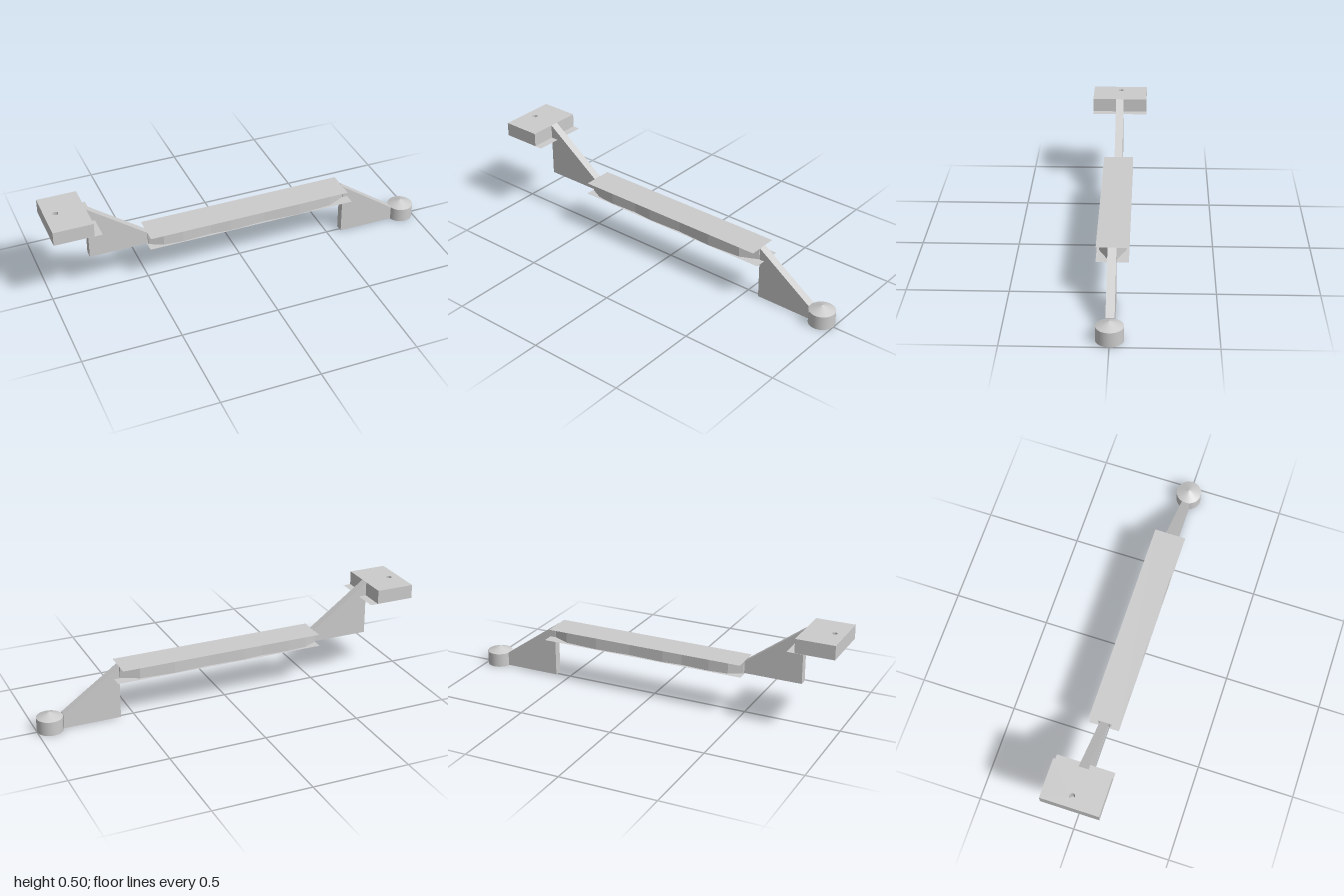
import * as THREE from 'three';

const grey = new THREE.MeshStandardMaterial({ color: 0xcccccc, flatShading: true, side: THREE.DoubleSide });
const smooth = new THREE.MeshStandardMaterial({ color: 0xcccccc });

function shapeFrom(points) {
  return new THREE.Shape(points.map(([a, b]) => new THREE.Vector2(a, b)));
}

function named(geometry, name, material = grey) {
  const mesh = new THREE.Mesh(geometry, material);
  mesh.name = name;
  return mesh;
}

// Thin horizontal sheet
function sheet(x0, x1, z0, z1, y, name) {
  const g = new THREE.PlaneGeometry(x1 - x0, z1 - z0).rotateX(-Math.PI / 2);
  return named(g.translate((x0 + x1) / 2, y, (z0 + z1) / 2), name);
}

// Outline in (x, -z) raised from y0 to y1
function slab(shape, y0, y1, name) {
  const g = new THREE.ExtrudeGeometry(shape, { depth: y1 - y0, bevelEnabled: false, curveSegments: 4 });
  return named(g.rotateX(-Math.PI / 2).translate(0, y0, 0), name);
}

// Sloped brace: profile in (x, y), centred on z
function brace(points, name) {
  const width = 0.042;
  const g = new THREE.ExtrudeGeometry(shapeFrom(points), { depth: width, bevelEnabled: false });
  return named(g.translate(0, 0, -width / 2), name);
}

export function createModel() {
  const model = new THREE.Group();

  // High end block with a small hole, resting on a longer sheet
  const block = shapeFrom([[-1, -0.148], [-0.8, -0.148], [-0.8, 0.148], [-1, 0.148]]);
  const hole = new THREE.Path();
  hole.absarc(-0.945, 0.003, 0.015, 0, Math.PI * 2, true);
  block.holes.push(hole);
  model.add(slab(block, 0.431, 0.503, 'endBlock'));
  model.add(sheet(-1, -0.76, -0.148, 0.148, 0.43, 'endBlockBase'));

  // Sloped braces stepping down at both ends of the deck
  model.add(brace([[-0.8, 0.22], [-0.5, 0.22], [-0.5, 0.283], [-0.8, 0.503]], 'upperBrace'));
  model.add(brace([[0.573, 0.004], [0.868, 0.004], [0.868, 0.075], [0.573, 0.283]], 'lowerBrace'));

  // Deck: two sheets around a gently undulating core that narrows at the ends
  model.add(sheet(-0.5, 0.573, -0.08, 0.077, 0.282, 'deckTop'));
  model.add(sheet(-0.505, 0.6, -0.08, 0.077, 0.219, 'deckBottom'));
  const side = [[-0.5, 0.03], [-0.43, 0.064], [-0.33, 0.072], [-0.18, 0.065], [-0.08, 0.074],
    [0.11, 0.067], [0.3, 0.076], [0.48, 0.064], [0.57, 0.022]];
  const mirrored = side.map(([x, z]) => [x, -z]).reverse();
  model.add(slab(shapeFrom([...side, ...mirrored]), 0.22, 0.281, 'deckCore'));

  // Round foot with a low conical cap
  const foot = new THREE.Group();
  foot.name = 'foot';
  foot.position.set(0.933, 0, 0);
  const drum = new THREE.CylinderGeometry(0.066, 0.066, 0.073, 40).translate(0, 0.0365, 0);
  const cap = new THREE.ConeGeometry(0.066, 0.027, 40, 1, true).translate(0, 0.0865, 0);
  foot.add(named(drum, 'footDrum', smooth), named(cap, 'footCap', smooth));
  model.add(foot);

  return model;
}
